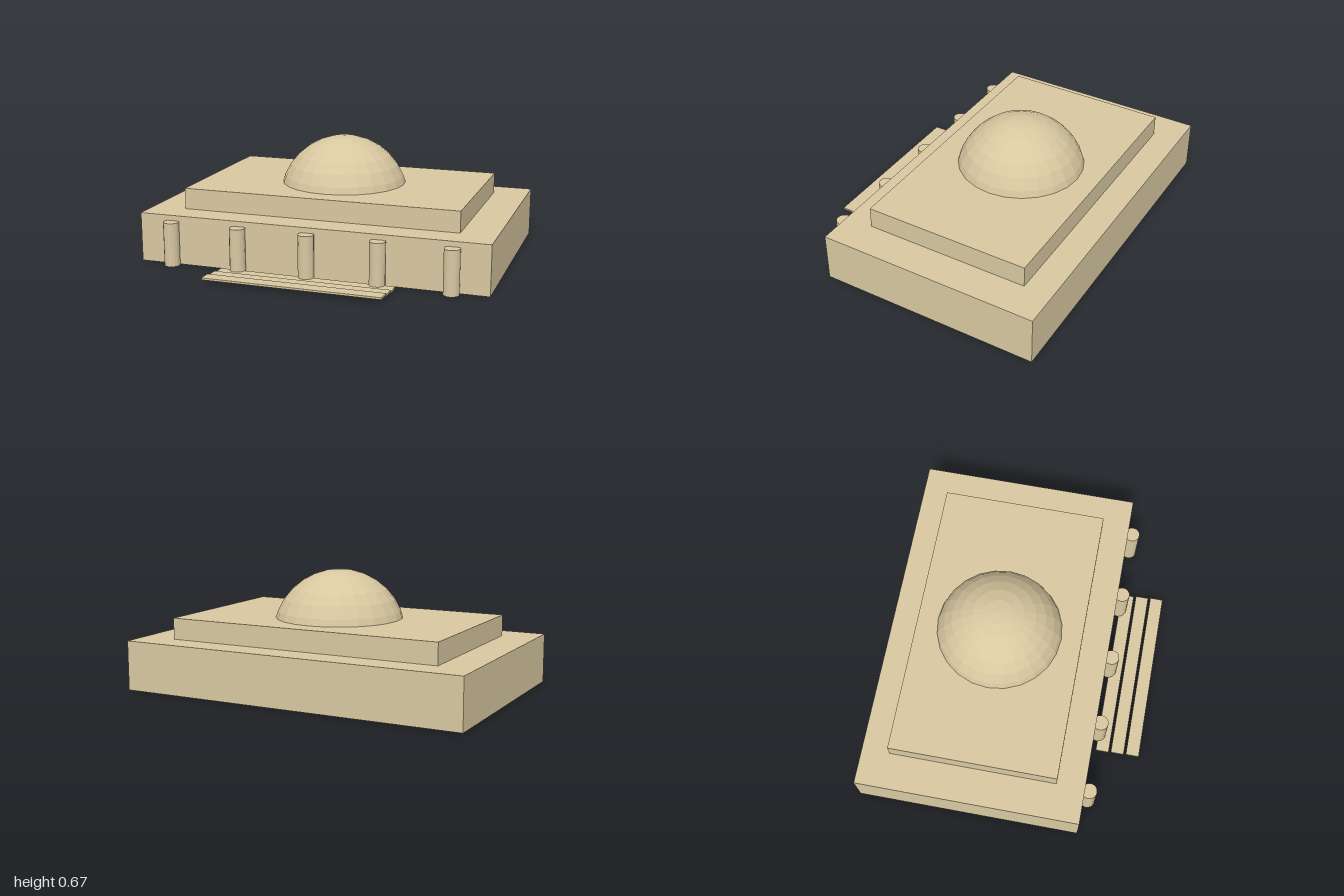
import * as THREE from 'three';

export function createModel() {
  const model = new THREE.Group();
  const stone = new THREE.MeshStandardMaterial({ color: 0xd8c8a0, flatShading: true });

  const add = (name, geometry, x, y, z) => {
    const mesh = new THREE.Mesh(geometry, stone);
    mesh.name = name;
    mesh.position.set(x, y, z);
    model.add(mesh);
  };

  // Main hall and the smaller storey set back on its roof
  add('mainHall', new THREE.BoxGeometry(2, 0.28, 1.27), 0, 0.14, -0.14);
  add('upperStorey', new THREE.BoxGeometry(1.6, 0.12, 0.95), 0, 0.34, -0.14);

  // Faceted dome, its lower edge sunk into the upper storey
  const dome = new THREE.SphereGeometry(0.375, 24, 8, 0, Math.PI * 2, 0, Math.PI / 2);
  add('dome', dome, 0, 0.295, -0.14);

  // Row of columns half set into the front wall
  const column = new THREE.CylinderGeometry(0.044, 0.044, 0.25, 16);
  for (let i = -2; i <= 2; i++) add('column', column, i * 0.4, 0.125, 0.521);

  // Thin separate steps, each one higher the farther it is from the wall
  const step = new THREE.BoxGeometry(1, 0.011, 0.075);
  for (let i = 0; i < 3; i++) add('step', step, 0, 0.0055 + i * 0.011, 0.561 + i * 0.088);

  return model;
}
